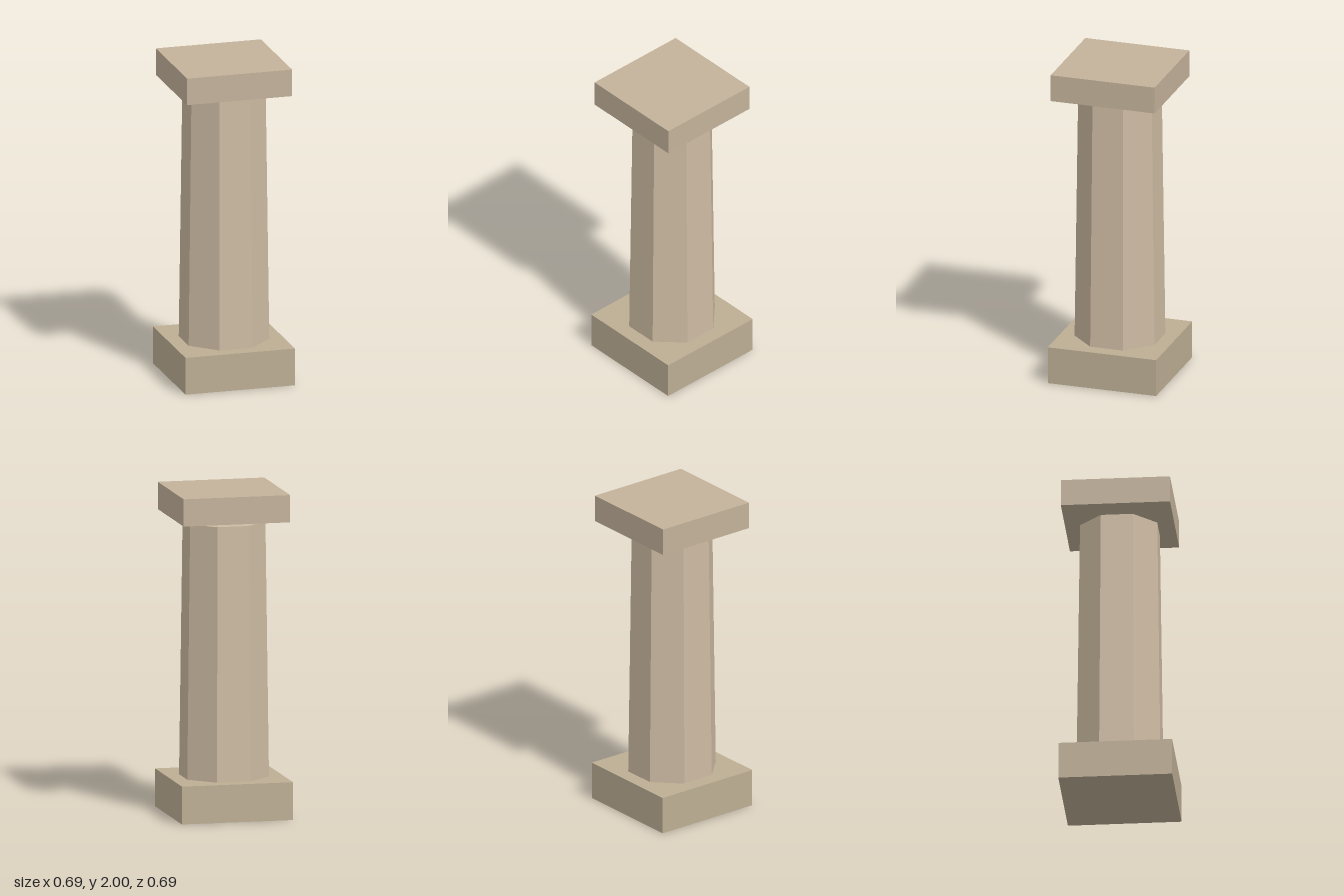
import * as THREE from 'three';

export function createModel() {
  const column = new THREE.Group();
  column.name = 'column';

  const addPart = (name, geometry, color, bottom, height) => {
    const material = new THREE.MeshStandardMaterial({ color, flatShading: true });
    const mesh = new THREE.Mesh(geometry, material);
    mesh.name = name;
    mesh.position.y = bottom + height / 2;
    column.add(mesh);
  };

  // Square plinth
  addPart('base', new THREE.BoxGeometry(0.694, 0.233, 0.694), 0xbdae94, 0, 0.233);

  // Tapered eight-sided shaft, turned so a flat side faces the front
  const toCorner = 1 / Math.cos(Math.PI / 8);
  const shaft = new THREE.CylinderGeometry(0.2355 * toCorner, 0.2555 * toCorner, 1.57, 8, 1, false, Math.PI / 8);
  addPart('shaft', shaft, 0xcdbba2, 0.233, 1.57);

  // Square slab floating just above the shaft
  addPart('capital', new THREE.BoxGeometry(0.666, 0.168, 0.666), 0xc3b29a, 1.832, 0.168);

  return column;
}
